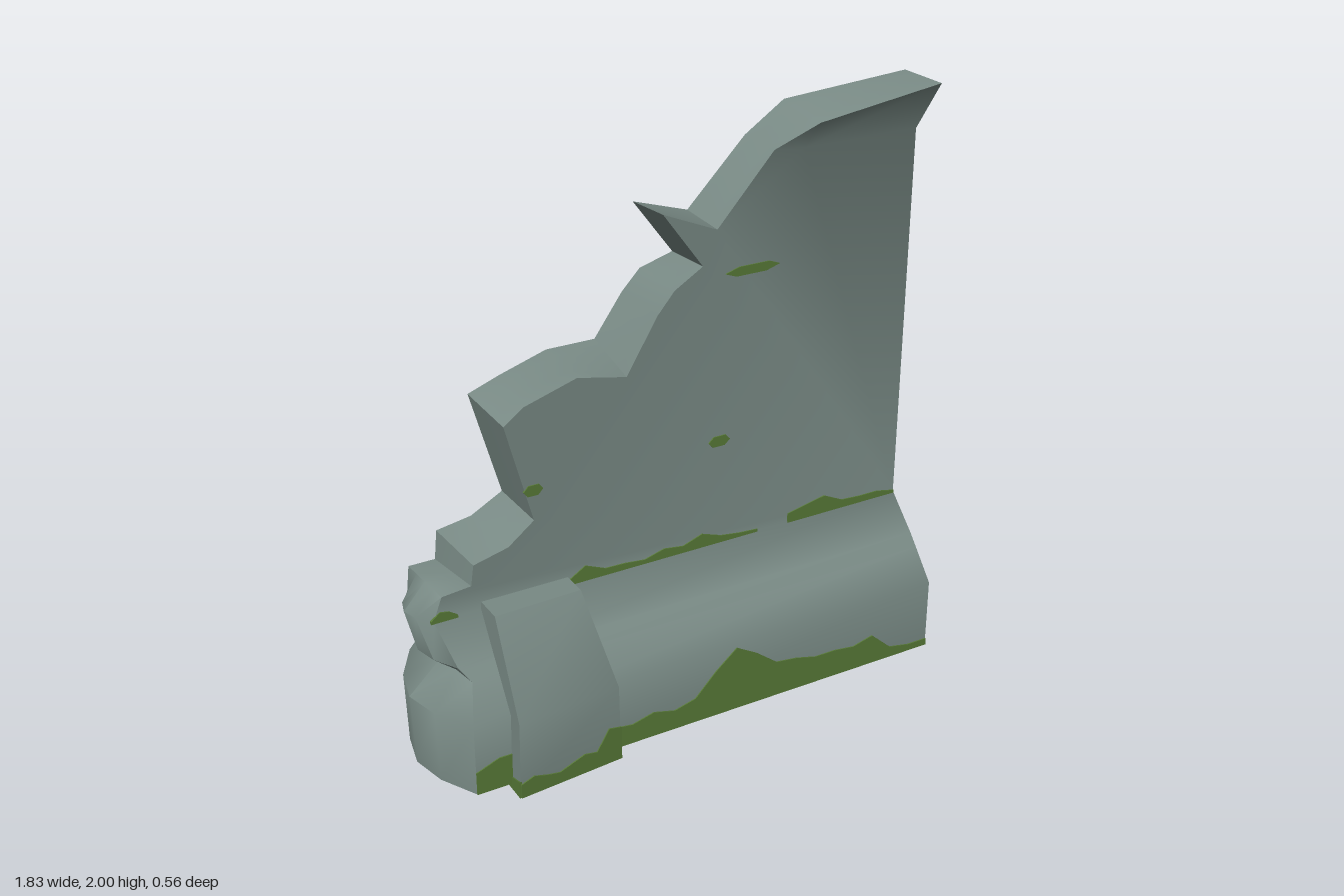
import * as THREE from 'three';
import { toCreasedNormals } from 'three/addons/utils/BufferGeometryUtils.js';

const stone = new THREE.MeshStandardMaterial({ color: 0x788984, side: THREE.DoubleSide });
stone.name = 'weathered stone';
const moss = new THREE.MeshStandardMaterial({ color: 0x587a38, side: THREE.DoubleSide });
moss.name = 'moss';

// Broken upper edge from the top corner down: front x, y and the shift of the back corner
const UPPER = [
  [0.91, 2, 0, 0], [0.5, 1.92, -0.01, 0.03], [0.37, 1.84, -0.01, 0.01], [0.17, 1.62, 0, 0.01],
  [-0.02, 1.7, 0.01, -0.02], [0.12, 1.51, 0, -0.01], [0.02, 1.45, -0.01, 0.01],
  [-0.04, 1.38, -0.01, 0.01], [-0.15, 1.2, 0, 0.05], [-0.32, 1.235, 0, 0.015],
  [-0.5, 1.18, 0.02, 0.02], [-0.57, 1.13, -0.02, 0.03], [-0.48, 0.79, -0.01, 0.01],
  [-0.57, 0.72, -0.03, 0.02], [-0.69, 0.69, -0.03, 0.03], [-0.7, 0.62, -0.03, 0],
  [-0.8, 0.61, -0.02, 0.01],
];
// Rounded end of the base, going down: x, y, front z, back z, sideways bulge
const BASE = [
  [-0.83, 0.53, 0, -0.21, -0.055], [-0.8, 0.41, 0.1, -0.22, -0.065],
  [-0.77, 0.37, 0.135, -0.23, -0.02], [-0.81, 0.27, 0.22, -0.28, -0.105],
  [-0.81, 0.02, 0.22, -0.28, -0.095],
];

// The top corner leans forward; the wall thins towards the right end
const leanZ = (y) => Math.max(0, (y - 1.84) * 0.68);
const backZ = (x) => Math.max(-0.21, -0.205 + 0.137 * x);

const upperEdge = UPPER.map(([x, y, dx, dy]) => ({
  front: [x, y, leanZ(y)], back: [x + dx, y + dy, backZ(x)], bulge: 0,
}));
const baseEdge = BASE.map(([x, y, zf, zb, bulge]) => ({
  front: [x, y, zf], back: [x, y, zb], bulge,
}));

function addTri(out, a, b, c) { out.push(...a, ...b, ...c); }

function addGrid(out, rows) {
  for (let i = 0; i + 1 < rows.length; i++) {
    for (let j = 0; j + 1 < rows[i].length; j++) {
      const [a, b, c, d] = [rows[i][j], rows[i][j + 1], rows[i + 1][j + 1], rows[i + 1][j]];
      addTri(out, a, b, c);
      addTri(out, a, c, d);
    }
  }
}

function stoneMesh(name, points) {
  const g = new THREE.BufferGeometry();
  g.setAttribute('position', new THREE.Float32BufferAttribute(points, 3));
  g.computeVertexNormals();
  const mesh = new THREE.Mesh(toCreasedNormals(g, 0.95), stone);
  mesh.name = name;
  return mesh;
}

// Thin moss patch, centred on the surface it grows on
function mossPatch(name, points, x = 0, z = 0, turn = 0) {
  const shape = new THREE.Shape(points.map(([px, py]) => new THREE.Vector2(px, py)));
  const g = new THREE.ExtrudeGeometry(shape, { depth: 0.008, bevelEnabled: false });
  g.translate(0, 0, -0.004);
  const mesh = new THREE.Mesh(g, moss);
  mesh.name = name;
  mesh.position.set(x, 0, z);
  mesh.rotation.y = turn;
  return mesh;
}

// Outline with a straight bottom and a ragged top of evenly spaced heights
function ragged(x0, x1, bottom, heights) {
  const top = heights.map((h, i) => [x0 + (x1 - x0) * i / (heights.length - 1), h]);
  return [[x0, bottom], [x1, bottom], ...top.reverse()];
}

export function createModel() {
  const group = new THREE.Group();
  group.name = 'ruinedWall';

  // Wall face, overhanging top corner and sloping base
  const face = [];
  const [tip, shoulder, ...side] = upperEdge.map((e) => e.front);
  const corner = [0.905, 1.83, 0], inner = [0.48, 1.83, 0];
  const outline = [[0.9, 0.53, 0], corner, inner, ...side, baseEdge[0].front];
  const flat = outline.map(([x, y]) => new THREE.Vector2(x, y));
  for (const [a, b, c] of THREE.ShapeUtils.triangulateShape(flat, [])) {
    addTri(face, outline[a], outline[b], outline[c]);
  }
  addTri(face, inner, corner, tip);
  addTri(face, inner, tip, shoulder);
  addTri(face, side[0], inner, shoulder);
  addGrid(face, baseEdge.map(({ front: [x, y, z] }) => [[x, y, z], [y > 0.5 ? 0.9 : 0.91, y, z]].reverse()));
  group.add(stoneMesh('wallFace', face));

  // Broken rim running back from the wall face
  const rim = [];
  addGrid(rim, [...upperEdge, ...baseEdge].map(({ front, back, bulge }) =>
    [0, 0.25, 0.5, 0.75, 1].map((t) => {
      const [x, y, z] = front.map((f, k) => f + (back[k] - f) * t);
      return [x + bulge * Math.sin(Math.PI * t), y, z];
    })));
  group.add(stoneMesh('brokenRim', rim));

  // Buttress shell: y, left x, right x, back z, left front z, right front z
  const buttress = [];
  addGrid(buttress, [
    [0.555, -0.67, -0.37, -0.05, -0.05, -0.05],
    [0.555, -0.67, -0.37, -0.05, 0.1, 0.09],
    [0.27, -0.685, -0.325, 0.17, 0.28, 0.25],
    [0, -0.69, -0.32, 0.17, 0.28, 0.25],
  ].map(([y, l, r, back, fl, fr]) =>
    [[r, y, back], [r, y, fr], [l, y, fl], [l, y, back]]));
  group.add(stoneMesh('buttress', buttress));

  // Moss along the foot of the wall
  group.add(mossPatch('footMoss', ragged(-0.81, 0.91, 0.02, [
    0.1, 0.13, 0.13, 0.12, 0.12, 0.11, 0.1, 0.09, 0.11, 0.09, 0.11, 0.19,
    0.255, 0.21, 0.15, 0.14, 0.12, 0.12, 0.11, 0.13, 0.06, 0.045, 0.045,
  ]), 0, 0.22));

  // Moss on the buttress front and sides
  group.add(mossPatch('buttressMoss', ragged(-0.69, -0.32, 0,
    [0.05, 0.065, 0.05, 0.04, 0.055, 0.07, 0.06, 0.13, 0.12]), 0, 0.224, 0.081));
  for (const [x, z, h] of [[-0.689, 0.28, 0.06], [-0.321, 0.25, 0.12]]) {
    group.add(mossPatch('buttressSideMoss', ragged(0.19, z, 0, [h * 0.5, h * 0.8, h]), x, 0, -Math.PI / 2));
  }

  // Moss along the ledge
  for (const [x0, x1, heights] of [
    [-0.84, -0.75, [0.535, 0.56, 0.555, 0.535]],
    [-0.38, 0.34, [0.535, 0.58, 0.55, 0.548, 0.54, 0.56, 0.55, 0.575, 0.55, 0.54, 0.535]],
    [0.46, 0.9, [0.56, 0.575, 0.59, 0.555, 0.55, 0.55, 0.535]],
  ]) group.add(mossPatch('ledgeMoss', ragged(x0, x1, 0.525, heights)));

  // Small moss spots on the wall: x, y, half width, half height
  const spot = [[1, 0], [0.6, 1], [-0.5, 1], [-1, 0], [-0.6, -1], [0.5, -1]];
  for (const [x, y, w, h] of [
    [0.3, 1.47, 0.1, 0.015], [0.185, 0.9, 0.04, 0.018], [-0.48, 0.895, 0.033, 0.018],
  ]) group.add(mossPatch('mossSpot', spot.map(([a, b]) => [x + a * w, y + b * h])));

  return group;
}
